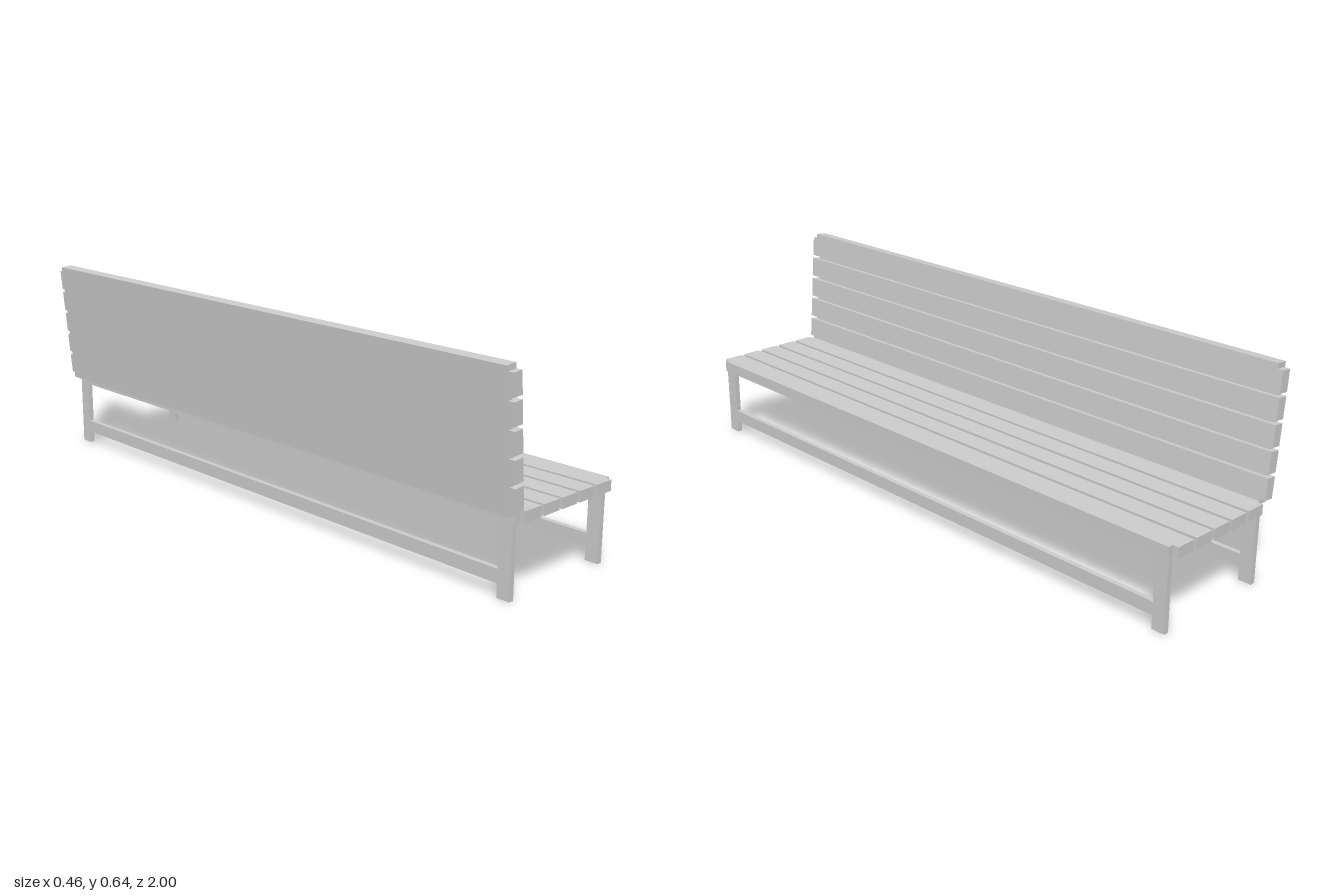
import * as THREE from 'three';

const RAIL_W = 0.016, FRAME_W = 0.398, FRAME_H = 0.036, FRAME_LEN = 1.963;
const SLATS = 5, SLAT_W = 0.064, SLAT_H = 0.032;
const material = new THREE.MeshStandardMaterial({ color: 0xcccccc });

function addBox(parent, name, size, position) {
  const mesh = new THREE.Mesh(new THREE.BoxGeometry(...size), material);
  mesh.name = name;
  mesh.position.set(...position);
  parent.add(mesh);
}

// Slatted frame lying flat: two edge rails, a backing panel and five slats
function createSlattedFrame(name) {
  const frame = new THREE.Group();
  frame.name = name;
  const inner = FRAME_W - 2 * RAIL_W;
  for (const side of [-1, 1]) {
    addBox(frame, name + 'Rail', [RAIL_W, FRAME_H, FRAME_LEN],
      [side * (FRAME_W - RAIL_W) / 2, FRAME_H / 2, 0]);
  }
  addBox(frame, name + 'Panel', [inner, 0.02, FRAME_LEN], [0, 0.01, 0]);
  const pitch = (inner - SLAT_W) / (SLATS - 1);
  for (let i = 0; i < SLATS; i++) {
    addBox(frame, name + 'Slat', [SLAT_W, SLAT_H, 2],
      [(i - (SLATS - 1) / 2) * pitch, FRAME_H - SLAT_H / 2, 0]);
  }
  return frame;
}

export function createModel() {
  const bench = new THREE.Group();
  bench.name = 'bench';

  // Seat
  const seatX = 0.03, seatY = 0.216;
  const seat = createSlattedFrame('seat');
  seat.position.set(seatX, seatY, 0);
  bench.add(seat);

  // Backrest: the same frame stood up and leaning back
  const backrest = createSlattedFrame('backrest');
  backrest.position.set(-0.213, 0.4375, 0);
  backrest.rotation.z = THREE.MathUtils.degToRad(-85.1);
  bench.add(backrest);

  // Legs with a long stretcher under each seat rail
  const legZ = [-0.962, 0.951], legDepth = 0.042;
  for (const side of [-1, 1]) {
    const x = seatX + side * (FRAME_W - RAIL_W) / 2;
    for (const z of legZ) {
      addBox(bench, 'leg', [RAIL_W, seatY, legDepth], [x, seatY / 2, z]);
    }
    addBox(bench, 'stretcher', [RAIL_W, 0.04, legZ[1] - legZ[0] - legDepth],
      [x, 0.06, (legZ[0] + legZ[1]) / 2]);
  }
  return bench;
}
